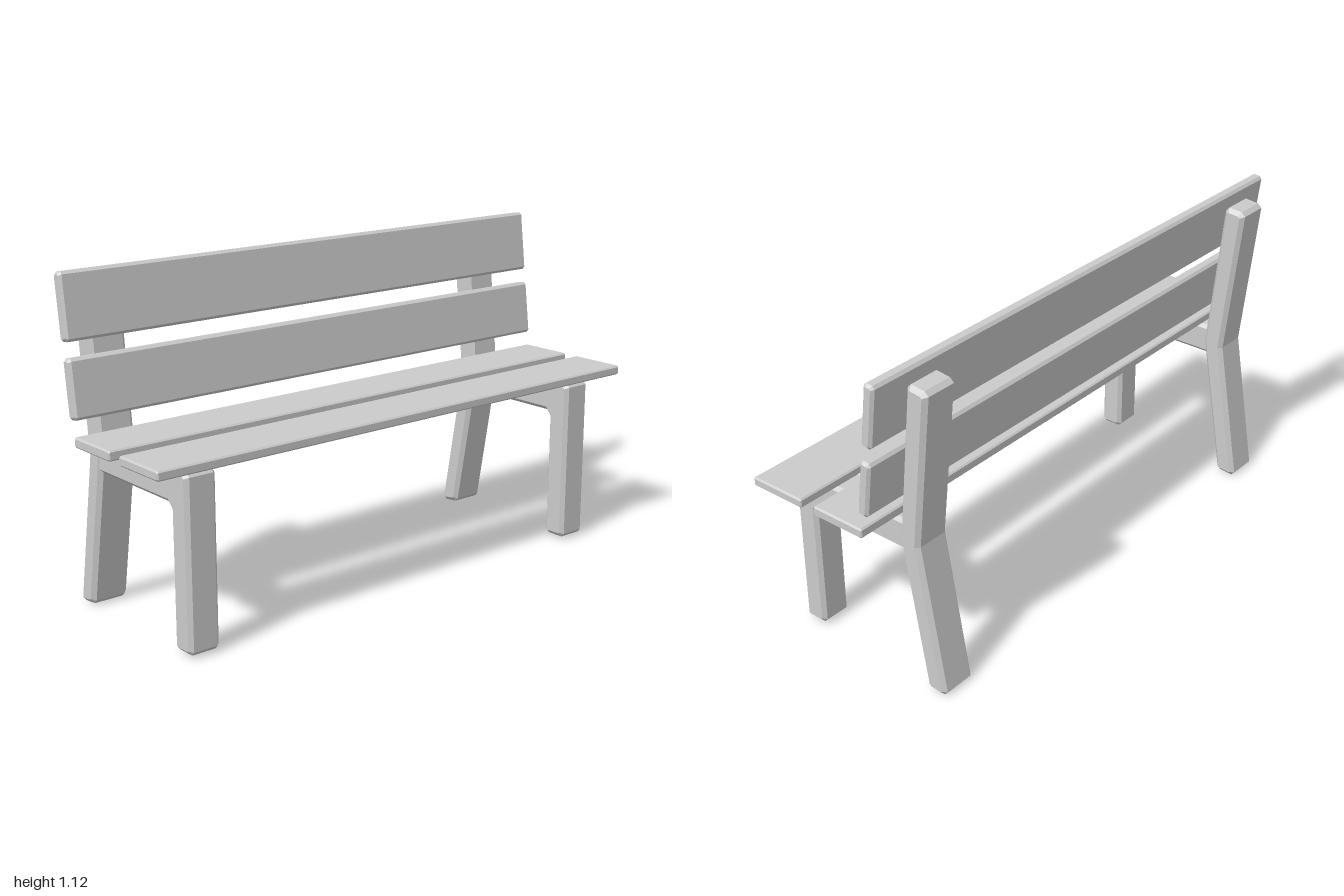
import * as THREE from 'three';

const material = new THREE.MeshStandardMaterial({ color: 0xcccccc, flatShading: true });

// Extrudes a (z, y) outline along x from x0 to x1 with chamfered end faces
function bar(name, outline, x0, x1, bevel) {
  const shape = new THREE.Shape(outline.map(([z, y]) => new THREE.Vector2(z, y)));
  const geometry = new THREE.ExtrudeGeometry(shape, {
    depth: x1 - x0 - 2 * bevel,
    bevelEnabled: true,
    bevelSegments: 1,
    bevelSize: bevel,
    bevelThickness: bevel,
    bevelOffset: -bevel,
  });
  geometry.rotateY(-Math.PI / 2);
  geometry.translate(x1 - bevel, 0, 0);
  const mesh = new THREE.Mesh(geometry, material);
  mesh.name = name;
  return mesh;
}

// Full-length board with chamfered edges, tilted about its long axis
function plank(name, z, y, depth, height, tilt, c) {
  const a = depth / 2, b = height / 2;
  const outline = [
    [-a + c, -b], [a - c, -b], [a, -b + c], [a, b - c],
    [a - c, b], [-a + c, b], [-a, b - c], [-a, -b + c],
  ];
  const mesh = bar(name, outline, -1, 1, c);
  mesh.position.set(0, y, z);
  mesh.rotation.x = tilt;
  return mesh;
}

// Front leg and seat rail in one L-shaped piece
const legOutline = [
  [0.298, 0.012], [0.309, 0.024], [0.309, 0.575], [0.297, 0.587],
  [-0.19, 0.587], [-0.19, 0.476], [0.207, 0.476], [0.224, 0.458],
  [0.224, 0.024], [0.236, 0.012],
];

// Back post, bent at seat height
const postOutline = [
  [-0.309, 0.003], [-0.258, 0.008], [-0.246, 0.02], [-0.157, 0.53],
  [-0.212, 1.062], [-0.225, 1.076], [-0.276, 1.071], [-0.291, 1.057],
  [-0.234, 0.524], [-0.322, 0.016],
];

export function createModel() {
  const group = new THREE.Group();
  group.name = 'bench';

  // Side frames
  for (const [side, x] of [['right', -0.897], ['left', 0.735]]) {
    const frame = new THREE.Group();
    frame.name = side + 'Frame';
    frame.add(
      bar('frontLegAndRail', legOutline, 0.003, 0.115, 0.013),
      bar('backPost', postOutline, 0, 0.134, 0.014),
    );
    frame.position.x = x;
    group.add(frame);
  }

  // Seat and backrest boards
  group.add(
    plank('frontSeatPlank', 0.221, 0.605, 0.207, 0.032, 0, 0.005),
    plank('rearSeatPlank', -0.036, 0.605, 0.2, 0.034, 0, 0.005),
    plank('lowerBackPlank', -0.155, 0.767, 0.041, 0.192, -0.124, 0.009),
    plank('upperBackPlank', -0.187, 1.019, 0.041, 0.215, -0.122, 0.009),
  );
  return group;
}
